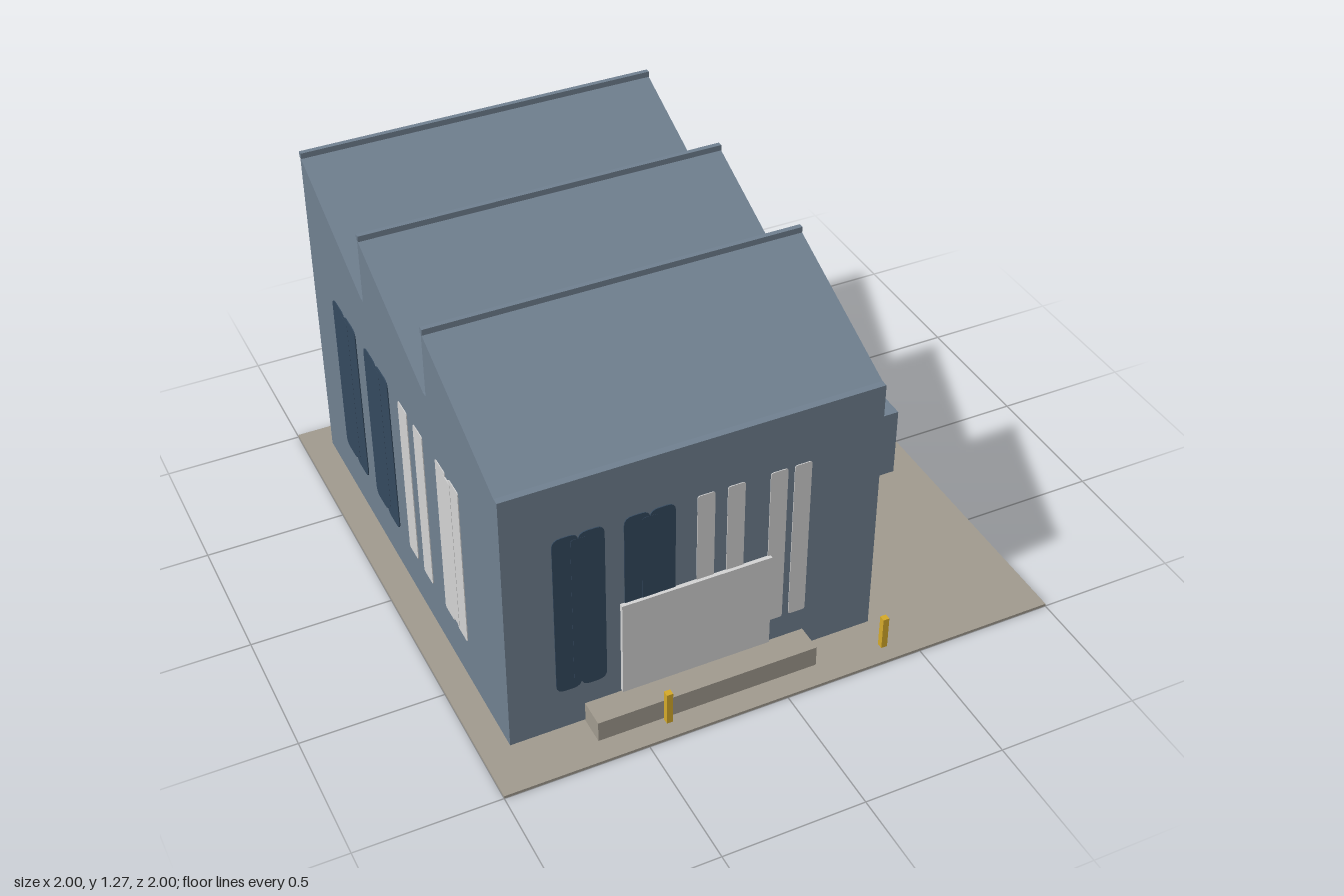
import * as THREE from 'three';

const mat = (name, color) => {
  const m = new THREE.MeshStandardMaterial({ color });
  m.name = name;
  return m;
};

export function createModel() {
  const slate = mat('slate cladding', 0x708090);
  const concrete = mat('concrete', 0xa09a8e);
  const navy = mat('navy glass', 0x34495e);
  const pale = mat('pale grey panel', 0xd3d3d3);
  const yellow = mat('safety yellow', 0xd4a92a);

  const model = new THREE.Group();
  model.name = 'factory';

  const add = (name, geometry, material, parent = model) => {
    const mesh = new THREE.Mesh(geometry, material);
    mesh.name = name;
    parent.add(mesh);
    return mesh;
  };
  // Box given by its limits on each axis
  const box = (name, [x0, x1], [y0, y1], [z0, z1], material, parent) => {
    const mesh = add(name, new THREE.BoxGeometry(x1 - x0, y1 - y0, z1 - z0), material, parent);
    mesh.position.set((x0 + x1) / 2, (y0 + y1) / 2, (z0 + z1) / 2);
    return mesh;
  };

  // Ground slab
  box('groundSlab', [-1, 1], [0, 0.01], [-1, 1], concrete);

  // Hall with sawtooth roof: side profile (z, y) extruded across the width
  const left = 0.41, right = -0.9, front = 0.81, back = -0.9;
  const eave = 1.01, ridge = 1.25, pitch = (front - back) / 3;
  const profile = new THREE.Shape();
  profile.moveTo(back, 0.005);
  profile.lineTo(front, 0.005);
  for (let i = 0; i < 3; i++) {
    const z = front - i * pitch;
    profile.lineTo(z, eave);
    profile.lineTo(z - 0.025, eave);
    profile.lineTo(z - pitch, ridge);
  }
  const hall = new THREE.ExtrudeGeometry(profile, { depth: left - right, bevelEnabled: false });
  hall.rotateY(-Math.PI / 2).translate(left, 0, 0);
  add('hall', hall, slate);

  // Ridge caps
  for (let i = 1; i <= 3; i++) {
    const z = front - i * pitch;
    box('ridgeCap', [right, left], [ridge - 0.003, 1.268], [z - 0.009, z + 0.009], slate);
  }

  // Rounded pane, thin plate standing on the wall plane
  const pane = (name, x0, x1, y0, y1, r, material, parent, lift = 0) => {
    const s = new THREE.Shape();
    s.moveTo(x0 + r, y0);
    s.lineTo(x1 - r, y0);
    s.quadraticCurveTo(x1, y0, x1, y0 + r);
    s.lineTo(x1, y1 - r);
    s.quadraticCurveTo(x1, y1, x1 - r, y1);
    s.lineTo(x0 + r, y1);
    s.quadraticCurveTo(x0, y1, x0, y1 - r);
    s.lineTo(x0, y0 + r);
    s.quadraticCurveTo(x0, y0, x0 + r, y0);
    const g = new THREE.ExtrudeGeometry(s, { depth: 0.003 + lift, bevelEnabled: false, curveSegments: 4 });
    add(name, g, material, parent);
  };

  // One wall of windows, laid out from its left edge as seen from outside.
  // The spacing scales with the wall length.
  const windowWall = (name, length, joined) => {
    const g = new THREE.Group();
    g.name = name;
    const k = length / 1.31;
    for (const x of [0.165, 0.405]) {
      const a = x * k, w = 0.175 * k, r = 0.03;
      pane('darkWindow', a, a + w * 0.505, 0.17, 0.805, r, navy, g);
      pane('darkWindow', a + w * 0.495, a + w, 0.17, 0.805, r, navy, g, 0.0005);
      pane('darkWindowCentre', a + w * 0.35, a + w * 0.65, 0.19, 0.785, 0.01, navy, g, 0.001);
    }
    for (const x of [0.655, 0.76, 0.91, 0.995]) {
      pane('paleWindow', x * k, (x + 0.061) * k, 0.175, 0.8, 0.01, pale, g);
    }
    if (joined) pane('paleWindowCentre', 0.96 * k, 1.005 * k, 0.19, 0.785, 0.005, pale, g, 0.001);
    model.add(g);
    return g;
  };
  const width = left - right, depth = front - back;
  windowWall('frontWindows', width, false).position.set(right, 0, front);
  const backWall = windowWall('backWindows', width, true);
  backWall.position.set(left, 0, back);
  backWall.rotation.y = Math.PI;
  const leftWall = windowWall('leftWindows', depth, false);
  leftWall.position.set(left, 0, front);
  leftWall.rotation.y = Math.PI / 2;
  const rightWall = windowWall('rightWindows', depth, true);
  rightWall.position.set(right, 0, back);
  rightWall.rotation.y = -Math.PI / 2;

  // Loading door and dock
  box('loadingDoor', [-0.51, 0.02], [0.09, 0.46], [front, 0.825], pale);
  box('loadingDock', [-0.64, 0.15], [0.005, 0.088], [0.815, 0.915], concrete);

  // Bollards
  for (const x of [-0.4, 0.396]) {
    box('bollard', [x - 0.011, x + 0.011], [0.005, 0.135], [0.92, 0.942], yellow);
  }

  // Storage container with side ribs
  const container = new THREE.Group();
  container.name = 'container';
  model.add(container);
  box('containerBody', [0.578, 0.9], [0.005, 0.285], [-0.32, 0.158], slate, container);
  for (let i = 0; i < 4; i++) {
    const z = 0.108 - i * 0.125;
    box('containerRib', [0.57, 0.908], [0.012, 0.273], [z - 0.005, z + 0.005], slate, container);
  }

  return model;
}
